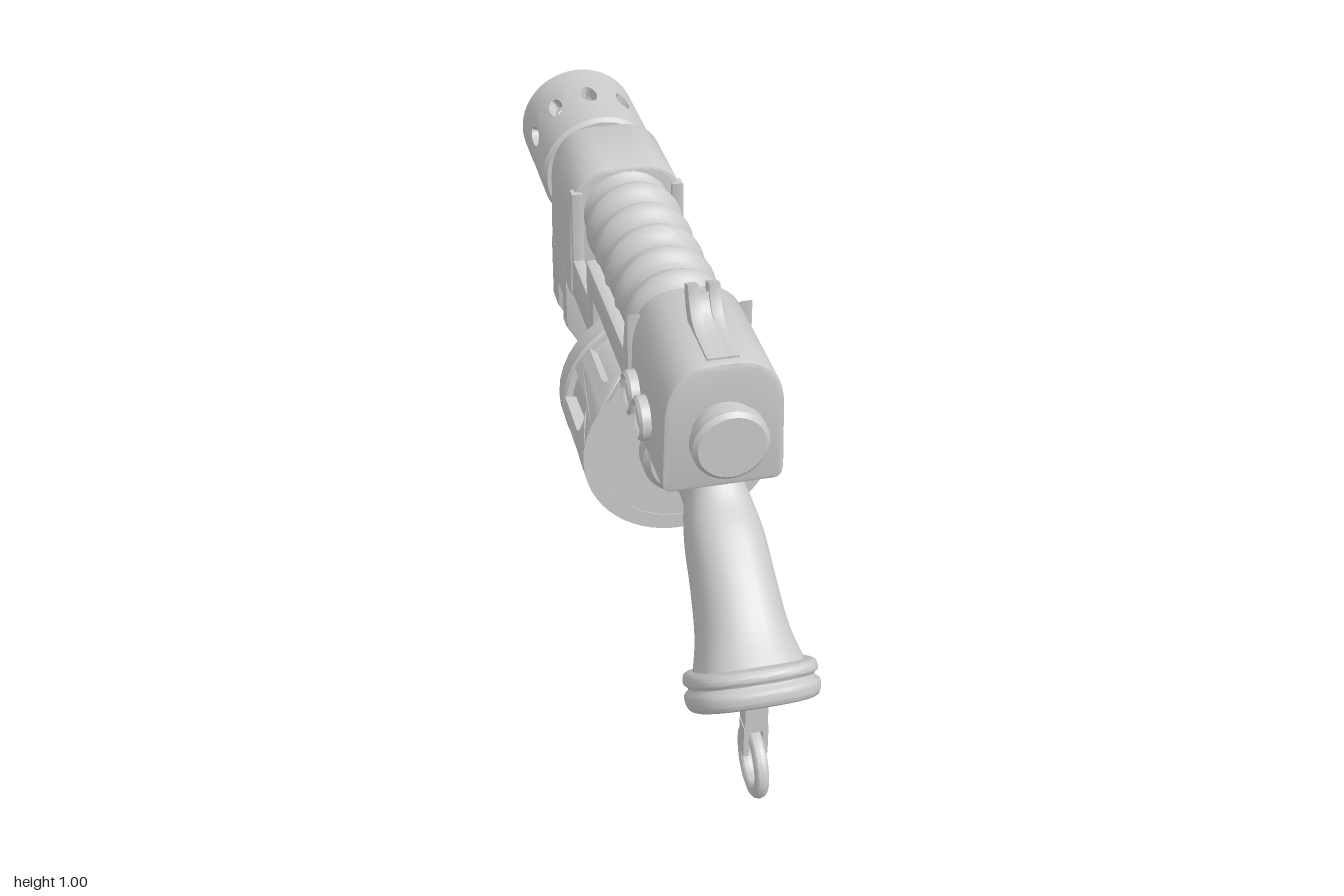
import * as THREE from 'three';
import { mergeGeometries, toCreasedNormals } from 'three/addons/utils/BufferGeometryUtils.js';

const material = new THREE.MeshStandardMaterial({ color: 0xcccccc });
const BARREL_Y = 0.737, DRUM_Y = 0.452;

export function createModel() {
  const model = new THREE.Group();
  const gun = new THREE.Group();
  gun.name = 'revolverLauncher';
  gun.rotation.y = -0.035; // the whole weapon stands slightly askew
  model.add(gun);

  const add = (name, geo, x = 0, y = 0, z = 0) => {
    const mesh = new THREE.Mesh(toCreasedNormals(geo, 0.6), material);
    mesh.name = name;
    mesh.position.set(x, y, z);
    gun.add(mesh);
    return mesh;
  };
  const poly = (pts) => new THREE.Shape(pts.map((p) => new THREE.Vector2(...p)));

  // Turned part: profile of [radius, forward distance], forward is -z
  const turned = (name, pts, y, sides = 40) =>
    add(name, new THREE.LatheGeometry(pts.map((p) => new THREE.Vector2(...p)), sides).rotateX(-Math.PI / 2), 0, y);

  // Extrude an (x, y) section between two z values with a small bevel
  const extrude = (shape, depth, b) => new THREE.ExtrudeGeometry(shape, {
    depth: depth - 2 * b, bevelEnabled: b > 0, bevelSize: b, bevelThickness: b, bevelOffset: -b, bevelSegments: 2, curveSegments: 12,
  }).translate(0, 0, b);
  const block = (name, shape, z0, z1, b = 0.01) => add(name, extrude(shape, z1 - z0, b), 0, 0, z0);

  // Extrude a (z, y) side outline across x, centred on cx
  const plate = (name, shape, cx, width, b = 0.005) =>
    add(name, extrude(shape, width, b).translate(0, 0, -width / 2).rotateY(-Math.PI / 2), cx);

  // Repeat a flat panel (arc length, forward) round the z axis
  const wrap = (shape, count, radius, wall) => {
    const panels = [];
    for (let k = 0; k < count; k++) {
      const geo = new THREE.ExtrudeGeometry(shape, { depth: wall, bevelEnabled: false });
      const p = geo.attributes.position;
      for (let i = 0; i < p.count; i++) {
        const a = p.getX(i) / radius + (k * 2 * Math.PI) / count;
        const r = radius - wall + p.getZ(i);
        p.setXYZ(i, r * Math.sin(a), r * Math.cos(a), -p.getY(i));
      }
      panels.push(geo);
    }
    return mergeGeometries(panels);
  };
  const edge = (u0, u1, v) => Array.from({ length: 7 }, (_, i) => [u0 + ((u1 - u0) * i) / 6, v]);

  // Housing section with a rounded top
  const housing = (w, y0, top) => {
    const s = new THREE.Shape();
    s.moveTo(-w + 0.025, y0);
    s.lineTo(w - 0.025, y0);
    s.quadraticCurveTo(w, y0, w, y0 + 0.03);
    s.lineTo(w - 0.004, top - 0.12);
    s.bezierCurveTo(w - 0.008, top - 0.04, w - 0.05, top, w - 0.11, top);
    s.lineTo(-w + 0.11, top);
    s.bezierCurveTo(-w + 0.05, top, -w + 0.008, top - 0.04, -w + 0.004, top - 0.12);
    s.lineTo(-w, y0 + 0.03);
    s.quadraticCurveTo(-w, y0, -w + 0.025, y0);
    return s;
  };
  block('receiver', housing(0.135, 0.61, 0.92), 0.295, 0.62);
  block('frontHousing', housing(0.15, 0.55, 0.905), -0.57, -0.32);

  // Lower front housing: core with two flanges that leave a slot between them
  const lower = (w, y0) => poly([[-w, 0.6], [-w, y0 + 0.1], [-w * 0.6, y0], [w * 0.6, y0], [w, y0 + 0.1], [w, 0.6]]);
  block('lowerCore', lower(0.125, 0.375), -0.56, -0.385, 0.005);
  block('rearFlange', lower(0.15, 0.33), -0.43, -0.38, 0.005);
  block('frontFlange', lower(0.15, 0.33), -0.57, -0.495, 0.005);
  for (const s of [-1, 1]) plate('slotTop', poly([[-0.56, 0.6], [-0.56, 0.5], [-0.39, 0.5], [-0.39, 0.6]]), s * 0.135, 0.028, 0);

  // Side rails joining receiver and front housing, stepped over the drum
  const rail = poly([[0.32, 0.61], [0.32, 0.88], [0.29, 0.85], [0.27, 0.765], [-0.14, 0.76], [-0.14, 0.665], [-0.31, 0.665],
    [-0.31, 0.85], [-0.34, 0.85], [-0.39, 0.56], [-0.07, 0.56], [-0.07, 0.69], [0.25, 0.69], [0.25, 0.61]]);
  for (const s of [-1, 1]) plate('sideRail', rail, s * 0.127, 0.03);

  // Ribbed barrel
  const ribs = [[0, -0.32]];
  for (let i = 0; i <= 80; i++) {
    const f = -0.32 + (i * 0.66) / 80;
    ribs.push([0.108 + 0.013 * Math.cos(((f - 0.02) * 2 * Math.PI) / 0.108), f]);
  }
  ribs.push([0, 0.34]);
  turned('ribbedBarrel', ribs, 0.784);

  // Muzzle: neck, slotted band, collar with bore
  turned('muzzleRear', [[0, 0.55], [0.11, 0.55], [0.11, 0.625], [0.147, 0.625], [0.156, 0.637], [0.156, 0.73],
    [0.128, 0.73], [0.128, 0.65], [0, 0.65]], BARREL_Y, 60);
  const mw = (0.156 * Math.PI) / 10;
  const band = poly([...edge(-mw, mw, 0.73), ...edge(mw, -mw, 0.85)]);
  const slot = new THREE.Path();
  slot.absellipse(0, 0.785, 0.02, 0.044, 0, Math.PI * 2, true);
  band.holes.push(slot);
  add('slottedMuzzle', wrap(band, 10, 0.156, 0.028), 0, BARREL_Y);
  turned('muzzleCollar', [[0.128, 0.85], [0.156, 0.85], [0.156, 0.945], [0.149, 0.953], [0.11, 0.953], [0.11, 0.992], [0.104, 1],
    [0.088, 1], [0.07, 0.97], [0.07, 0.93], [0.128, 0.93], [0.128, 0.85]], BARREL_Y, 60);

  // Drum magazine with U-shaped pockets
  const dw = (0.232 * Math.PI) / 10, n = 0.042;
  const pocket = Array.from({ length: 9 }, (_, i) => {
    const a = (i * Math.PI) / 8;
    return [n * Math.cos(a), -0.155 - 0.035 * Math.sin(a)];
  });
  const fluted = poly([...edge(-dw, dw, -0.245), [dw, -0.015], [n, -0.015], ...pocket, [-n, -0.015], [-dw, -0.015]]);
  add('drumPockets', wrap(fluted, 10, 0.232, 0.04), 0, DRUM_Y);
  turned('drumCore', [[0, -0.243], [0.2, -0.243], [0.205, -0.015], [0.21, -0.005], [0.225, -0.005], [0.232, 0.002], [0.232, 0.052],
    [0.224, 0.062], [0, 0.062]], DRUM_Y);
  turned('drumAxle', [[0, -0.3], [0.085, -0.3], [0.1, -0.285], [0.1, -0.22], [0.06, -0.22], [0.06, 0.05], [0.108, 0.05], [0.108, 0.135],
    [0.1, 0.145], [0.075, 0.145], [0.075, 0.235], [0.055, 0.245], [0.055, 0.295], [0.075, 0.305], [0.075, 0.4], [0, 0.4]], DRUM_Y + 0.005);
  turned('axleNut', [[0, 0.55], [0.078, 0.55], [0.078, 0.63], [0.07, 0.642], [0.052, 0.642], [0.052, 0.672], [0.043, 0.684], [0, 0.684]], DRUM_Y, 10);

  // Rear cap and side knobs
  turned('rearCap', [[0, -0.685], [0.074, -0.685], [0.084, -0.676], [0.084, -0.648], [0.072, -0.64], [0.072, -0.6], [0, -0.6]], 0.755);
  const knob = [[0.05, 0], [0.05, 0.022], [0.043, 0.029], [0.036, 0.022], [0.033, 0.012], [0.028, 0.02], [0, 0.022]];
  for (const s of [-1, 1]) for (const z of [0.47, 0.365]) {
    const geo = new THREE.LatheGeometry(knob.map((p) => new THREE.Vector2(...p)), 28).rotateZ((-s * Math.PI) / 2);
    add('sideKnob', geo, s * 0.13, 0.71, z);
  }

  // Hammer-like rear sight with a notch in the tip
  const lever = (top) => {
    const s = new THREE.Shape();
    s.moveTo(0.6, 0.905);
    s.lineTo(0.6, 0.925);
    s.lineTo(0.5, 0.928);
    s.quadraticCurveTo(0.445, 0.945, 0.434, top);
    s.lineTo(0.405, top - 0.01);
    s.quadraticCurveTo(0.405, 0.94, 0.45, 0.905);
    return s;
  };
  plate('rearSight', lever(0.983), 0, 0.03, 0);
  for (const s of [-1, 1]) plate('sightProng', lever(1.005), s * 0.023, 0.025, 0.002);

  // Bridge between grip and drum, with finger hole and trigger
  const bridge = poly([[0.57, 0.62], [0.3, 0.62], [0.29, 0.4], [0.34, 0.41], [0.43, 0.46], [0.55, 0.44]]);
  const hole = new THREE.Path();
  hole.absellipse(0.42, 0.547, 0.07, 0.047, 0, Math.PI * 2, true);
  bridge.holes.push(hole);
  plate('bridge', bridge, 0, 0.1, 0.01);
  for (let i = 0; i < 3; i++) add('triggerRib', new THREE.CylinderGeometry(0.011, 0.011, 0.1, 10), 0, 0.547, 0.488 - i * 0.016);

  // Grip: rings between a back and a front edge; rows are [backZ, backY, frontZ, frontY, halfWidth]
  const loft = (name, rows, steps, shapeRing) => {
    const back = new THREE.CatmullRomCurve3(rows.map((r) => new THREE.Vector3(0, r[1], r[0])));
    const front = new THREE.CatmullRomCurve3(rows.map((r) => new THREE.Vector3(r[4], r[3], r[2])));
    const sides = 32, pos = [], index = [];
    for (let i = 0; i <= steps; i++) {
      const u = i / steps, a = back.getPoint(u), b = front.getPoint(u), w = b.x;
      for (let j = 0; j < sides; j++) {
        const t = (j * 2 * Math.PI) / sides, c = Math.cos(t), s = Math.sin(t);
        const k = (Math.sign(c) * Math.abs(c) ** 0.8) * shapeRing(u, c);
        pos.push(w * Math.sign(s) * Math.abs(s) ** 0.8, (a.y + b.y) / 2 + (k * (a.y - b.y)) / 2, (a.z + b.z) / 2 + (k * (a.z - b.z)) / 2);
        if (i < steps) {
          const p = i * sides + j, q = i * sides + ((j + 1) % sides);
          index.push(p, p + sides, q, q, p + sides, q + sides);
        }
      }
    }
    const geo = new THREE.BufferGeometry();
    geo.setAttribute('position', new THREE.Float32BufferAttribute(pos, 3));
    geo.setIndex(index);
    add(name, geo);
  };
  const fingers = (u, c) => (c < -0.5 && u > 0.15 && u < 0.92 ? 1 - 0.2 * Math.max(0, Math.sin((u - 0.15) * 32.6)) : 1);
  loft('grip', [[0.59, 0.625, 0.5, 0.46, 0.065], [0.63, 0.59, 0.53, 0.445, 0.075], [0.7, 0.553, 0.575, 0.405, 0.085],
    [0.79, 0.492, 0.64, 0.34, 0.09], [0.88, 0.42, 0.71, 0.27, 0.1], [0.955, 0.375, 0.76, 0.22, 0.12]], 72, fingers);
  loft('gripPommel', [[0.94, 0.38, 0.76, 0.235, 0.1], [0.967, 0.388, 0.742, 0.222, 0.137], [0.978, 0.375, 0.755, 0.205, 0.141],
    [0.975, 0.36, 0.77, 0.2, 0.132], [0.992, 0.355, 0.772, 0.186, 0.143], [1.0, 0.325, 0.798, 0.163, 0.135],
    [0.985, 0.305, 0.82, 0.165, 0.105], [0.905, 0.235, 0.9, 0.23, 0.003]], 42, () => 1);

  // Lanyard strap and ring
  add('lanyardStrap', new THREE.BoxGeometry(0.05, 0.07, 0.04), 0, 0.215, 0.905);
  for (const s of [-1, 1]) add('lanyardTab', new THREE.BoxGeometry(0.012, 0.08, 0.036), s * 0.021, 0.155, 0.907);
  add('lanyardRing', new THREE.TorusGeometry(0.068, 0.016, 12, 40).rotateY(Math.PI / 2), 0, 0.087, 0.91);

  return model;
}
